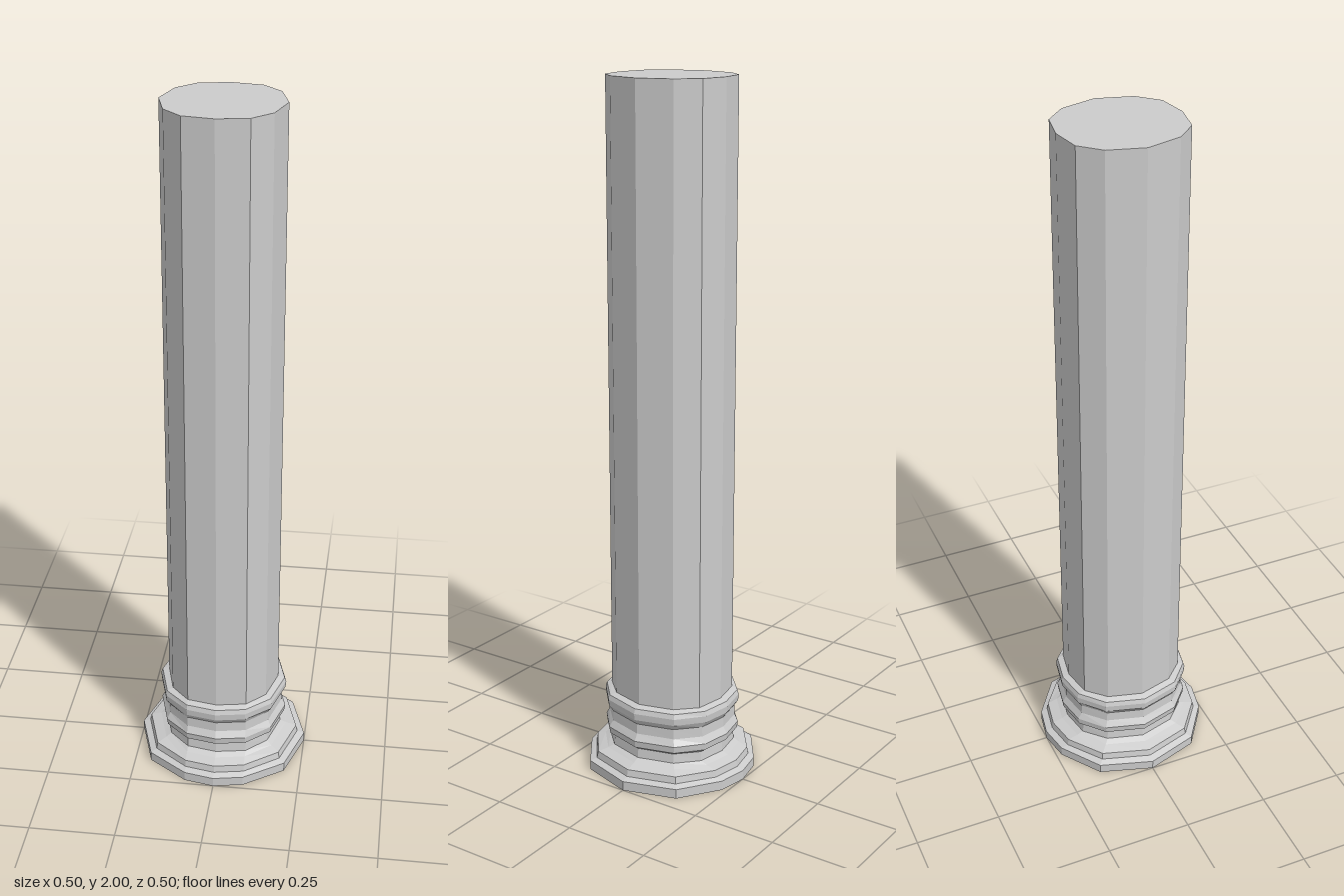
import * as THREE from 'three';

// Outline of the slightly uneven twelve-sided section for a given half-width:
// one quarter from the front (+z) corner round to the side (+x) corner.
function quarter(r) {
  const t = r - 0.167;
  return [
    [0, 0.171 + 0.96 * t],
    [0.087, 0.155 + 0.95 * t],
    [0.14 + 0.75 * t, 0.1 + 0.64 * t],
    [r, 0],
  ];
}

// Lathe a [halfWidth, y] profile, then fit each ring to the section.
function turned(name, profile, material) {
  const points = profile.map(([r, y]) => new THREE.Vector2(r, y));
  const geometry = new THREE.LatheGeometry(points, 12);
  const pos = geometry.attributes.position;
  for (let i = 0; i <= 12; i++) {
    const k = i % 12;
    const fold = k % 6 > 3 ? 6 - (k % 6) : k % 6;
    const sx = k < 6 ? 1 : -1;
    const sz = k > 3 && k < 9 ? -1 : 1;
    profile.forEach(([r, y], j) => {
      if (r === 0) return;
      const [x, z] = quarter(r)[k > 3 && k < 6 ? 6 - k : k >= 6 && k < 9 ? k - 6 : k >= 9 ? 12 - k : fold];
      pos.setXYZ(i * profile.length + j, sx * x, y, sz * z);
    });
  }
  geometry.computeVertexNormals();
  const mesh = new THREE.Mesh(geometry, material);
  mesh.name = name;
  return mesh;
}

export function createModel() {
  const group = new THREE.Group();
  group.name = 'column';
  const stone = new THREE.MeshStandardMaterial({ color: 0xcccccc, flatShading: true });

  // Stepped foot, two rounded mouldings and the plain shaft
  group.add(
    turned('foot', [
      [0, 0], [0.25, 0], [0.25, 0.028], [0.229, 0.035], [0.225, 0.055], [0.194, 0.064], [0.175, 0.072],
    ], stone),
    turned('mouldings', [
      [0.175, 0.072], [0.172, 0.1], [0.187, 0.11], [0.19, 0.13], [0.178, 0.15],
      [0.177, 0.18], [0.19, 0.198], [0.192, 0.218], [0.187, 0.232], [0.167, 0.238],
    ], stone),
    turned('shaft', [[0.167, 0.238], [0.167, 2], [0, 2]], stone),
  );
  return group;
}
